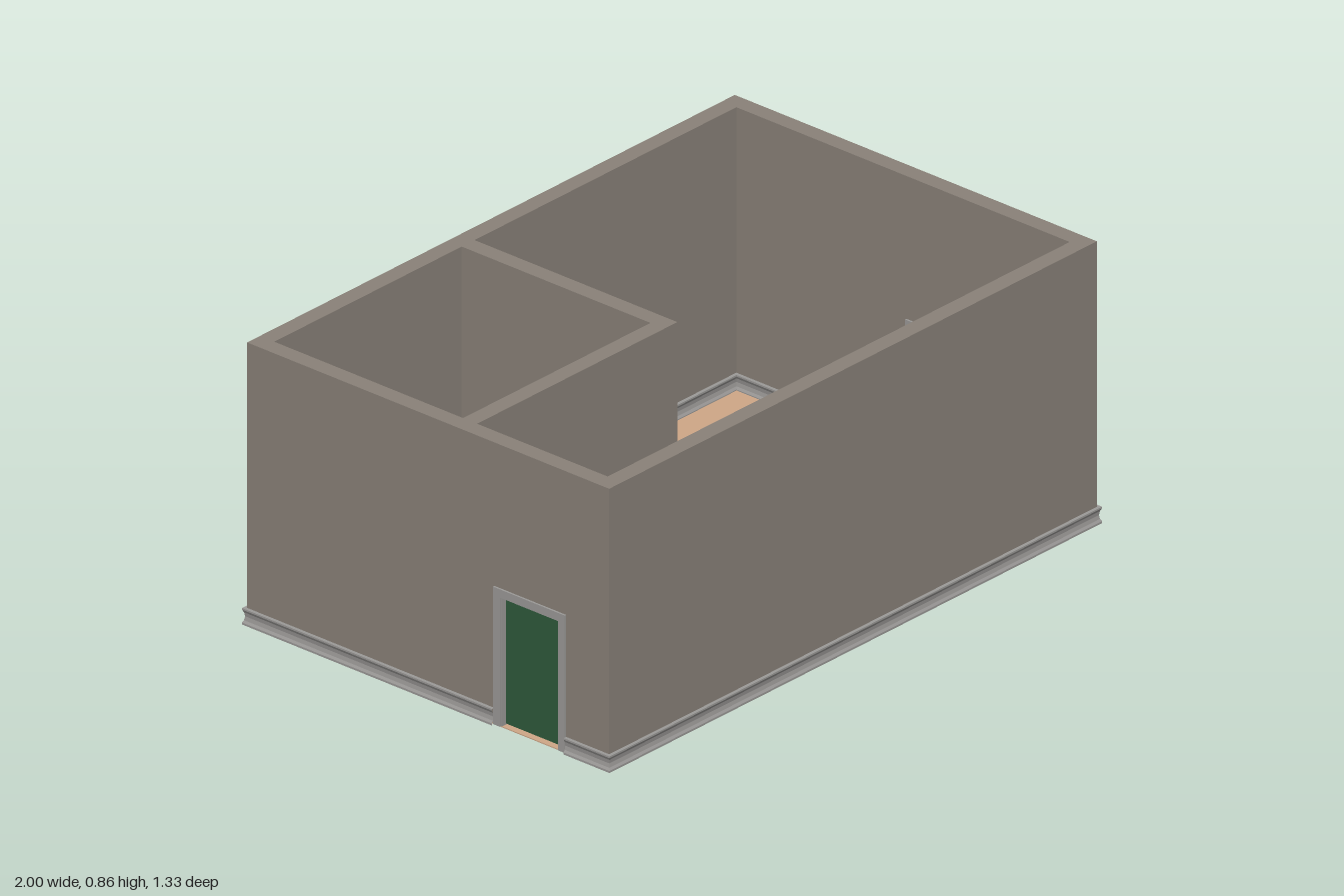
import * as THREE from 'three';

const mat = (color, extra = {}) => new THREE.MeshStandardMaterial({ color, ...extra });

// Main dimensions
const X = 0.99, Z = 0.656, H = 0.855, T = 0.052, FLOOR = 0.003;
const XI = X - T, ZI = Z - T;

export function createModel() {
  const model = new THREE.Group();
  const wallMat = mat(0x8a8279);
  const trimMat = mat(0x9c9a98);
  const skirtMat = mat(0x9c9a98, { flatShading: true, side: THREE.DoubleSide });
  const glassMat = mat(0xb4d6e0);
  const doorMat = mat(0x2f5a3c);
  const floorMat = mat(0xcfa787);

  const add = (parent, name, geometry, material, x = 0, y = 0, z = 0) => {
    const mesh = new THREE.Mesh(geometry, material);
    mesh.name = name;
    mesh.position.set(x, y, z);
    parent.add(mesh);
    return mesh;
  };
  const box = (parent, name, material, w, h, d, x, y, z) =>
    add(parent, name, new THREE.BoxGeometry(w, h, d), material, x, y, z);

  const poly = (C, pts) => new C(pts.map(([x, y]) => new THREE.Vector2(x, y)));
  const rect = (x0, y0, x1, y1) => [[x0, y0], [x1, y0], [x1, y1], [x0, y1]];
  // Slab cut from a shape, centred on its thickness
  const slab = (shape, depth) =>
    new THREE.ExtrudeGeometry(shape, { depth, bevelEnabled: false }).translate(0, 0, -depth / 2);
  // Outline open at the bottom: an arch of straight sides
  const notched = (x0, x1, top, a, b, cut) =>
    [[x0, FLOOR], [a, FLOOR], [a, cut], [b, cut], [b, FLOOR], [x1, FLOOR], [x1, top], [x0, top]];

  // Floor
  box(model, 'floor', floorMat, 2 * X, FLOOR, 2 * Z, 0, FLOOR / 2, 0);

  // Front and back walls
  for (const [name, s] of [['frontWall', 1], ['backWall', -1]])
    box(model, name, wallMat, 2 * X, H - FLOOR, T, 0, (H + FLOOR) / 2, s * (Z - T / 2));

  // Side wall with the window opening (drawn with x running toward -z)
  const windowZ = 0.149, doorZ = 0.37, DW = 0.11, DH = 0.40;
  const windowShape = poly(THREE.Shape, rect(-ZI, FLOOR, ZI, H));
  windowShape.holes.push(poly(THREE.Path, rect(-windowZ - 0.115, 0.16, -windowZ + 0.115, 0.40)));
  add(model, 'windowWall', slab(windowShape, T), wallMat, X - T / 2).rotation.y = Math.PI / 2;

  // Side wall with the entrance
  const entranceShape = poly(THREE.Shape, notched(-ZI, ZI, H, -doorZ - DW, -doorZ + DW, DH));
  add(model, 'entranceWall', slab(entranceShape, T), wallMat, -X + T / 2).rotation.y = Math.PI / 2;

  // Partition walls of the small room
  const px0 = -0.177, px1 = -0.125, pz0 = 0.08, pz1 = 0.131;
  const innerDoorX = -0.555;
  box(model, 'partitionSide', wallMat, px1 - px0, H - FLOOR, pz1 + ZI,
    (px0 + px1) / 2, (H + FLOOR) / 2, (pz1 - ZI) / 2);
  add(model, 'partitionFront',
    slab(poly(THREE.Shape, notched(-XI, px0, H, innerDoorX - DW, innerDoorX + DW, DH)), pz1 - pz0),
    wallMat, 0, 0, (pz0 + pz1) / 2);

  // Window: casings on both faces, sash frame, bars and glass
  const win = new THREE.Group();
  win.name = 'window';
  win.position.set(X - T / 2, 0, windowZ);
  win.rotation.y = Math.PI / 2;
  model.add(win);
  const ring = (w, y0, y1, rim) => {
    const s = poly(THREE.Shape, rect(-w, y0, w, y1));
    s.holes.push(poly(THREE.Path, rect(-w + rim, y0 + rim, w - rim, y1 - rim)));
    return s;
  };
  for (const s of [-1, 1])
    add(win, 'windowCasing', slab(ring(0.137, 0.138, 0.422, 0.022), 0.006), trimMat, 0, 0, s * (T / 2 + 0.003));
  add(win, 'windowFrame', slab(ring(0.115, 0.16, 0.40, 0.005), 0.03), trimMat);
  box(win, 'mullion', trimMat, 0.016, 0.23, 0.024, 0, 0.28, 0);
  box(win, 'glazingBar', trimMat, 0.22, 0.01, 0.018, 0, 0.235, 0);
  box(win, 'glass', glassMat, 0.22, 0.23, 0.006, 0, 0.28, 0);

  // Doors: casings on both faces, lining and leaf
  const door = (name, x, z, turn) => {
    const g = new THREE.Group();
    g.name = name;
    g.position.set(x, 0, z);
    g.rotation.y = turn;
    model.add(g);
    const casing = poly(THREE.Shape, notched(-0.13, 0.13, 0.42, -0.105, 0.105, 0.395));
    for (const s of [-1, 1])
      add(g, 'doorCasing', slab(casing, 0.006), trimMat, 0, 0, s * (T / 2 + 0.003));
    const lining = poly(THREE.Shape, notched(-DW, DW, DH, -0.102, 0.102, 0.392));
    add(g, 'doorLining', slab(lining, T), trimMat);
    box(g, 'doorLeaf', doorMat, 0.204, 0.386, 0.02, 0, 0.199, 0);
  };
  door('entranceDoor', -X + T / 2, doorZ, Math.PI / 2);
  door('innerDoor', innerDoorX, (pz0 + pz1) / 2, 0);

  // Skirting: a hollow moulding profile swept along [x, z] points with mitred corners
  const profile = [[0, 0.05], [0.01, 0.05], [0.01, 0.045], [0.006, 0.037], [0.004, 0.025],
    [0.006, 0.013], [0.01, 0.006], [0.01, 0]];
  const skirting = (name, path) => {
    const normals = path.slice(1).map(([x, z], i) => {
      const dx = x - path[i][0], dz = z - path[i][1], l = Math.hypot(dx, dz);
      return [dz / l, -dx / l];
    });
    // All runs meet at right angles, so the mitre is the sum of both normals
    const rows = path.map(([x, z], i) => {
      const a = normals[i - 1] || [0, 0], b = normals[i] || [0, 0];
      return profile.map(([o, y]) => [x + o * (a[0] + b[0]), y, z + o * (a[1] + b[1])]);
    });
    const pos = [];
    for (let i = 0; i + 1 < rows.length; i++)
      for (let j = 0; j + 1 < profile.length; j++) {
        const a = rows[i][j], b = rows[i + 1][j], c = rows[i + 1][j + 1], d = rows[i][j + 1];
        pos.push(...a, ...b, ...c, ...a, ...c, ...d);
      }
    const g = new THREE.BufferGeometry();
    g.setAttribute('position', new THREE.Float32BufferAttribute(pos, 3));
    g.computeVertexNormals();
    add(model, name, g, skirtMat);
  };
  const d0 = doorZ - 0.13, d1 = doorZ + 0.13, i0 = innerDoorX - 0.13, i1 = innerDoorX + 0.13;
  skirting('outerSkirting', [[-X, d0], [-X, -Z], [X, -Z], [X, Z], [-X, Z], [-X, d1]]);
  skirting('smallRoomSkirting',
    [[i1, pz0], [px0, pz0], [px0, -ZI], [-XI, -ZI], [-XI, pz0], [i0, pz0]]);
  skirting('hallSkirting', [[i0, pz1], [-XI, pz1], [-XI, d0]]);
  skirting('mainRoomSkirting',
    [[-XI, d1], [-XI, ZI], [XI, ZI], [XI, -ZI], [px1, -ZI], [px1, pz1], [i1, pz1]]);

  return model;
}
